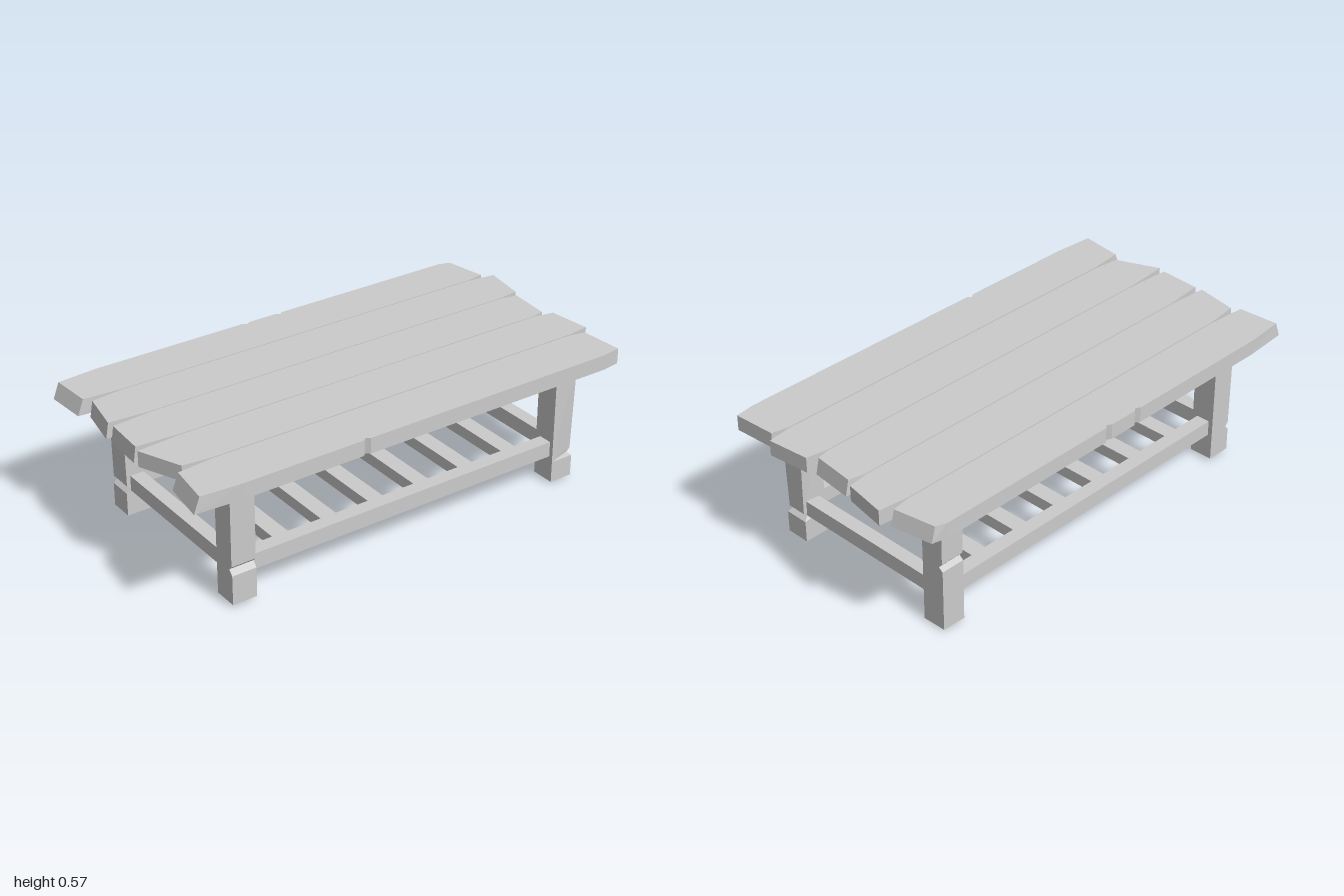
import * as THREE from 'three';

const material = new THREE.MeshStandardMaterial({ color: 0xcccccc, flatShading: true });

// Solid through horizontal rings { y, pts: [[x, z], ...] }, bottom to top,
// each ring running counter-clockwise as seen from above.
function loft(rings) {
  const pos = [];
  const n = rings[0].pts.length;
  const put = (r, k) => pos.push(r.pts[k % n][0], r.ys ? r.ys[k % n] : r.y, r.pts[k % n][1]);
  for (let i = 0; i < rings.length - 1; i++) {
    const a = rings[i], b = rings[i + 1];
    for (let k = 0; k < n; k++) {
      put(a, k); put(a, k + 1); put(b, k + 1);
      put(a, k); put(b, k + 1); put(b, k);
    }
  }
  const cap = (r, flip) => {
    const contour = r.pts.map(([x, z]) => new THREE.Vector2(x, -z));
    for (const [p, q, s] of THREE.ShapeUtils.triangulateShape(contour, [])) {
      (flip ? [s, q, p] : [p, q, s]).forEach((k) => put(r, k));
    }
  };
  cap(rings[0], true);
  cap(rings[rings.length - 1], false);
  const geo = new THREE.BufferGeometry();
  geo.setAttribute('position', new THREE.Float32BufferAttribute(pos, 3));
  geo.computeVertexNormals();
  return geo;
}

function add(parent, name, geo, x = 0, y = 0, z = 0) {
  const mesh = new THREE.Mesh(geo, material);
  mesh.name = name;
  mesh.position.set(x, y, z);
  parent.add(mesh);
}

// Plank with crooked, slanted ends and small nicks along its long edges.
// left / right: x at the back and front corner; insets slope the ends inward at the top.
function plank({ z, left, right, inL = 0, inR = 0, frontNicks = [], backNicks = [] }) {
  const [zb, zf] = z;
  const ring = (l, r) => {
    const nicks = (list, edge, dir) => list.flatMap((x) =>
      [[x - 0.016 * dir, edge], [x, edge - 0.012 * dir], [x + 0.016 * dir, edge]]);
    return [
      [left[1] + l, zf - 0.012], [-0.8, zf], ...nicks(frontNicks, zf, 1), [0.88, zf],
      [right[1] - r, zf - 0.012], [right[0] - r, zb + 0.015],
      [0.88, zb], ...nicks(backNicks, zb, -1), [-0.8, zb], [left[0] + l, zb + 0.015],
    ];
  };
  return loft([{ y: 0.51, pts: ring(0, 0) }, { y: 0.575, pts: ring(inL, inR) }]);
}

// Square leg with a V-shaped cut across one outer face ('x' or 'z') and a slightly uneven foot.
function leg({ x, z, face, cut, taper = 0, feet }) {
  const sx = Math.sign(x[0]), sz = Math.sign(z[0]);
  const ring = (dent, narrow) => {
    let [x0, x1] = x, [z0, z1] = z;
    const d = dent * (face === 'x' ? sx : sz);
    if (face === 'x') { if (sx > 0) x1 -= d; else x0 -= d; }
    else if (sz > 0) z1 -= d; else z0 -= d;
    const pts = [[x0, z1], [x1, z1], [x1, z0], [x0, z0]];
    // only the corners of the cut face narrow
    for (const p of pts) {
      if (face === 'x' && p[0] === (sx > 0 ? x1 : x0)) p[1] += p[1] === z1 ? -narrow : narrow;
      if (face === 'z' && p[1] === (sz > 0 ? z1 : z0)) p[0] += p[0] === x1 ? -narrow : narrow;
    }
    return pts;
  };
  return loft([
    { ys: feet, pts: ring(0, 0) },
    { y: cut[0], pts: ring(0, 0) },
    { y: cut[1], pts: ring(0.018, taper) },
    { y: cut[2], pts: ring(0.003, taper) },
    { y: 0.512, pts: ring(0, 0) },
  ]);
}

export function createModel() {
  const model = new THREE.Group();
  model.name = 'slattedTable';

  // Table top: five rough planks, back to front
  const top = new THREE.Group();
  top.name = 'tableTop';
  model.add(top);
  [
    { z: [-0.53, -0.328], left: [-0.995, -0.985], right: [0.945, 0.975], inL: 0.025, inR: 0.018, backNicks: [0.05, -0.11] },
    { z: [-0.323, -0.114], left: [-0.95, -0.985], right: [1.0, 0.97], inL: 0.012 },
    { z: [-0.109, 0.097], left: [-0.98, -0.99], right: [0.965, 0.948], inL: 0.01, inR: 0.015 },
    { z: [0.102, 0.309], left: [-0.99, -0.915], right: [0.965, 0.985] },
    { z: [0.315, 0.525], left: [-0.975, -1.0], right: [0.95, 0.962], inL: 0.025, frontNicks: [-0.27] },
  ].forEach((p) => add(top, 'plank', plank(p)));

  // Legs, each with its own cut
  const right = [-0.805, -0.7], left = [0.72, 0.823];
  const front = [0.33, 0.433], back = [-0.435, -0.332];
  add(model, 'frontLeftLeg', leg({ x: left, z: front, face: 'x', cut: [0.1, 0.117, 0.132], taper: 0.01, feet: [0.008, 0.008, 0.008, 0.008] }));
  add(model, 'frontRightLeg', leg({ x: right, z: front, face: 'z', cut: [0.137, 0.16, 0.175], feet: [0.012, 0.012, 0.012, 0.012] }));
  add(model, 'backLeftLeg', leg({ x: left, z: back, face: 'z', cut: [0.272, 0.288, 0.305], feet: [0, 0.005, 0.008, 0.004] }));
  add(model, 'backRightLeg', leg({ x: right, z: back, face: 'x', cut: [0.11, 0.127, 0.142], feet: [0.01, 0.01, 0.01, 0.01] }));

  // Upper and lower rails between the legs
  for (const [level, y, h] of [['upper', 0.482, 0.058], ['lower', 0.152, 0.066]]) {
    const long = new THREE.BoxGeometry(1.46, h, 0.06);
    const short = new THREE.BoxGeometry(0.06, h, 0.7);
    for (const s of [1, -1]) {
      add(model, level + 'LongRail', long, 0.01, y, s * 0.385);
      add(model, level + 'SideRail', short, 0.01 + s * 0.765, y, 0);
    }
  }

  // Shelf slats
  const slat = new THREE.BoxGeometry(0.07, 0.05, 0.73);
  for (let i = 0; i < 6; i++) add(model, 'shelfSlat', slat, 0.01 + (i - 2.5) * 0.219, 0.152, 0);

  return model;
}
